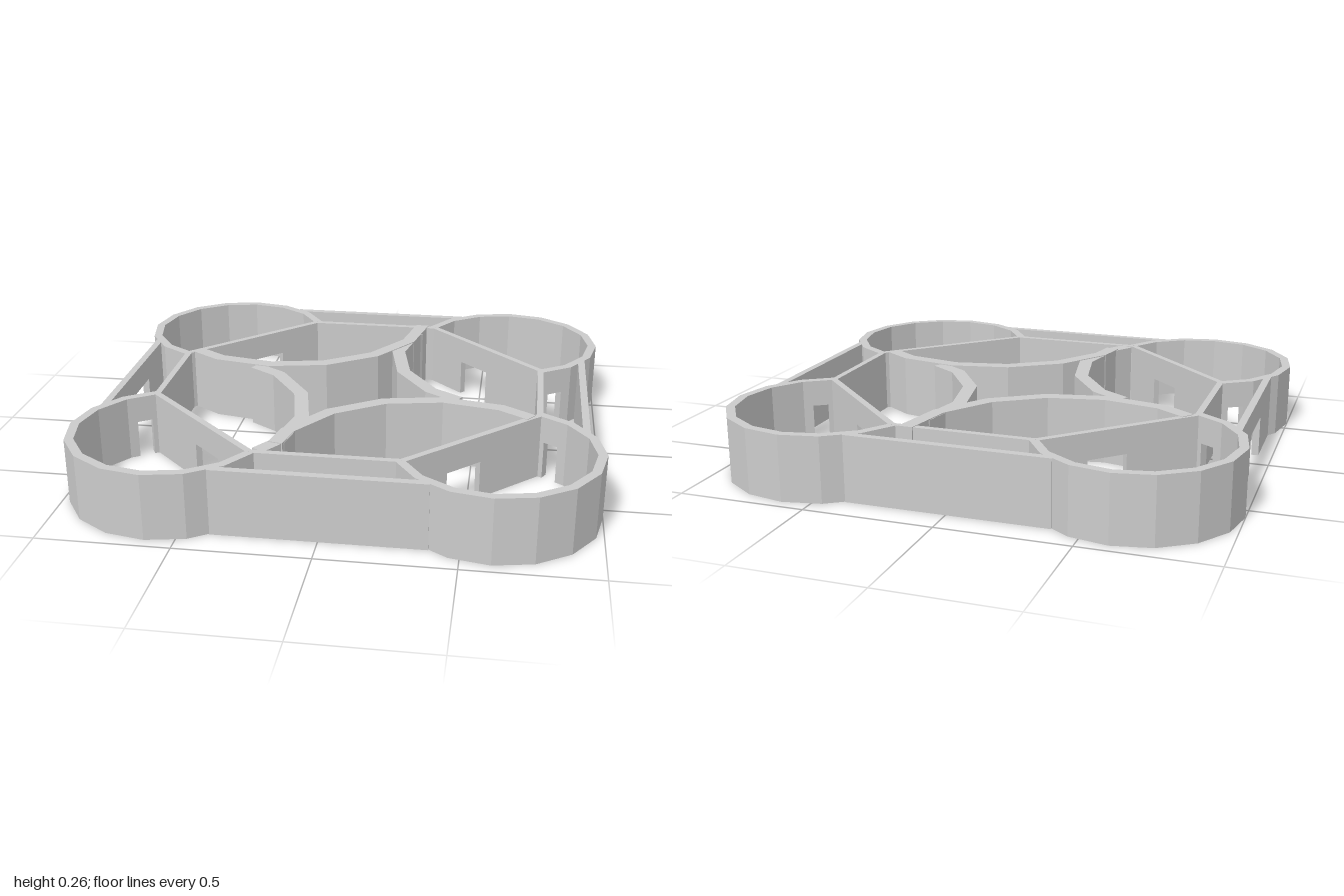
import * as THREE from 'three';

const H = 0.255;                 // frame height
const STEP = Math.PI / 8;        // all curved walls are parts of 16-sided rings
const material = new THREE.MeshStandardMaterial({ color: 0xcccccc, flatShading: true });

// Upright prism over a plan outline of [x, z] points
function prism(points, y0 = 0, y1 = H) {
  const shape = new THREE.Shape(points.map(([x, z]) => new THREE.Vector2(x, -z)));
  const geometry = new THREE.ExtrudeGeometry(shape, { depth: y1 - y0, bevelEnabled: false });
  geometry.rotateX(-Math.PI / 2).translate(0, y0, 0);
  return new THREE.Mesh(geometry, material);
}

const lerp = (a, b, f) => [a[0] + (b[0] - a[0]) * f, a[1] + (b[1] - a[1]) * f];

// Straight wall between two plan edges, with an optional notch {from, to, top} open at the bottom
function wallBetween(name, a0, b0, a1, b1, notch) {
  const group = new THREE.Group();
  group.name = name;
  const piece = (f, g, y0) => group.add(
    prism([lerp(a0, b0, f), lerp(a0, b0, g), lerp(a1, b1, g), lerp(a1, b1, f)], y0));
  if (!notch) piece(0, 1, 0);
  else {
    piece(0, notch.from, 0);
    piece(notch.from, notch.to, notch.top);
    piece(notch.to, 1, 0);
  }
  return group;
}

// Straight wall along a centre line
function wall(name, a, b, thickness, notch) {
  const length = Math.hypot(b[0] - a[0], b[1] - a[1]);
  const nx = -(b[1] - a[1]) / length * thickness / 2;
  const nz = (b[0] - a[0]) / length * thickness / 2;
  return wallBetween(name, [a[0] + nx, a[1] + nz], [b[0] + nx, b[1] + nz],
    [a[0] - nx, a[1] - nz], [b[0] - nx, b[1] - nz], notch);
}

// Point on a 16-sided ring; t counts sides and may be fractional
function ringPoint(cx, cz, r, t, sx = 1, sz = 1) {
  const corner = (k) => [
    sx * (cx + r * Math.cos(k * STEP)), sz * (cz + r * Math.sin(k * STEP))];
  const k = Math.floor(t);
  return lerp(corner(k), corner(k + 1), t - k);
}

// Part of a ring, from side t0 to side t1
function arcWall(name, cx, cz, rIn, rOut, t0, t1, height = H, sx = 1, sz = 1) {
  const stops = [t0];
  for (let k = Math.floor(t0) + 1; k < t1; k++) stops.push(k);
  stops.push(t1);
  const outer = stops.map((t) => ringPoint(cx, cz, rOut, t, sx, sz));
  const inner = stops.map((t) => ringPoint(cx, cz, rIn, t, sx, sz)).reverse();
  const mesh = prism([...outer, ...inner], 0, height);
  mesh.name = name;
  return mesh;
}

export function createModel() {
  const model = new THREE.Group();
  model.name = 'ductedFrame';

  // Four corner rings, each closed by a diagonal wall
  const cx = 0.61, cz = 0.567, rIn = 0.355, rOut = 0.39;
  for (const sx of [-1, 1]) {
    for (const sz of [-1, 1]) {
      const corner = new THREE.Group();
      corner.name = (sz > 0 ? 'front' : 'back') + (sx > 0 ? 'Left' : 'Right') + 'Corner';
      corner.add(arcWall('ductRing', cx, cz, rIn, rOut, -2, 6, H, sx, sz));
      // End segments with cable notches
      for (const [t0, t1] of [[-2, -2.92], [6, 6.92]]) {
        const p = (r, t) => ringPoint(cx, cz, r, t, sx, sz);
        corner.add(wallBetween('notchedRingEnd', p(rOut, t0), p(rOut, t1), p(rIn, t0), p(rIn, t1),
          { from: 0.3, to: 0.78, top: 0.15 }));
      }
      corner.add(wall('diagonalWall', [sx * 0.275, sz * 0.713], [sx * 0.757, sz * 0.238], 0.026,
        { from: 0.3, to: 0.54, top: 0.15 }));
      model.add(corner);
    }
  }

  // Double walls joining the corners on all four sides
  for (const s of [-1, 1]) {
    const end = s > 0 ? 'front' : 'back';
    const side = s > 0 ? 'left' : 'right';
    model.add(wall(end + 'OuterWall', [-0.39, s * 0.87], [0.39, s * 0.87], 0.03));
    model.add(wall(end + 'InnerWall', [-0.275, s * 0.712], [0.275, s * 0.712], 0.026));
    model.add(wall(side + 'OuterWall', [s * 0.931, -0.385], [s * 0.931, 0.385], 0.028,
      s < 0 ? { from: 0.32, to: 0.64, top: 0.16 } : undefined));
    model.add(wall(side + 'InnerWall', [s * 0.759, -0.24], [s * 0.759, 0.24], 0.025));
  }

  // Interlocking curved walls in the centre
  const curves = [
    ['backCurvedWall', -0.38, -0.745, 0.07, 5.6, 0.257],
    ['rightCurvedWall', -0.745, 0.38, -2.6, 1.45, 0.254],
    ['frontCurvedWall', 0.38, 0.745, 8.5, 13.6, 0.257],
    ['leftCurvedWall', 0.745, -0.38, 5.4, 9.1, 0.254],
  ];
  for (const [name, x, z, t0, t1, height] of curves) {
    model.add(arcWall(name, x, z, 0.572, 0.628, t0, t1, height));
  }
  return model;
}
